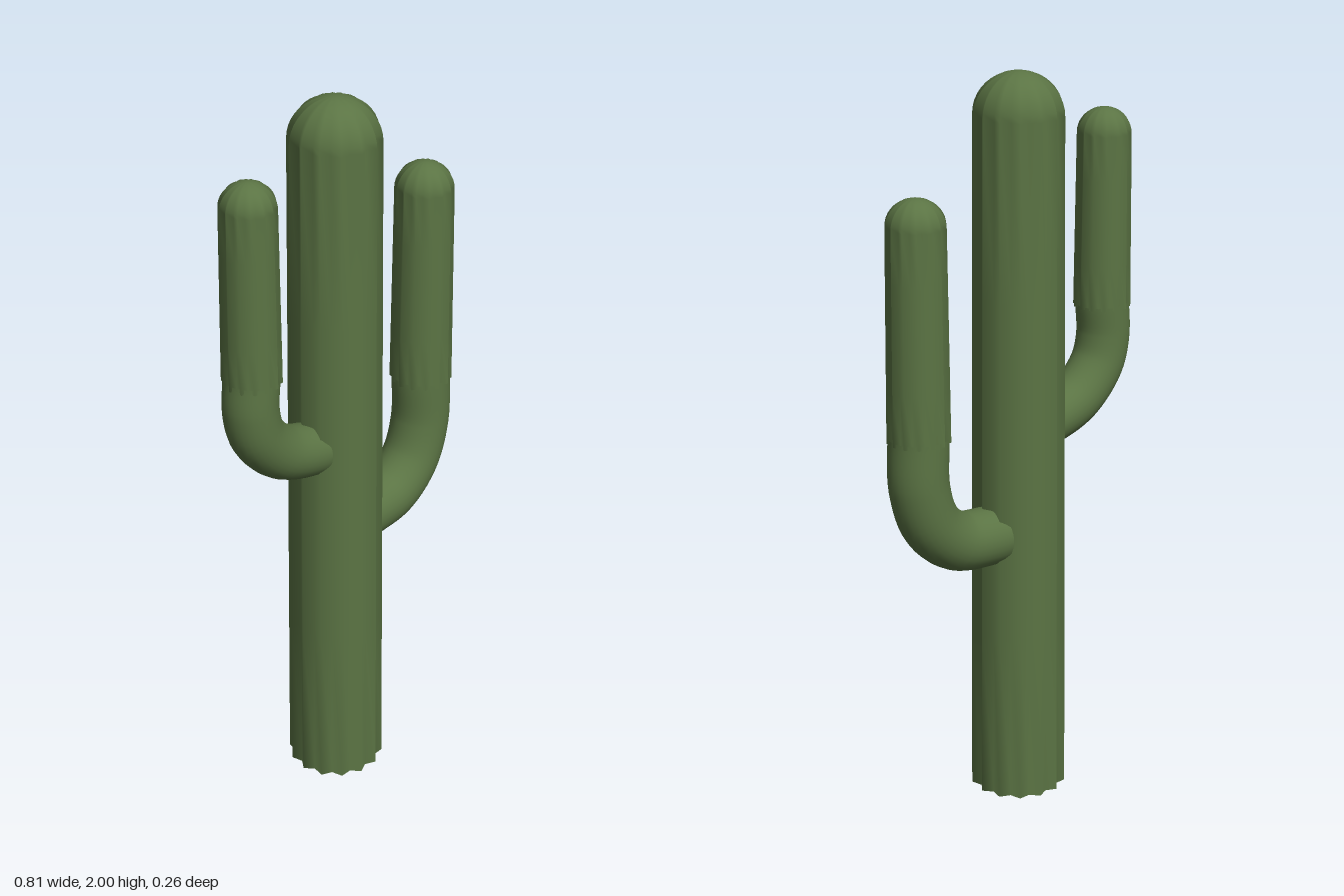
import * as THREE from 'three';
import { mergeVertices } from 'three/addons/utils/BufferGeometryUtils.js';

const RIBS = 14;
const VALLEY = 0.87; // groove radius relative to rib radius

// Open-bottomed ribbed column with a domed top
function ribbedColumn(x, y0, y1, rBottom, rTop) {
  const profile = [];
  const shoulder = y1 - rTop * 0.95;
  for (let i = 0; i < 4; i++) {
    const t = i / 4;
    profile.push(new THREE.Vector2(THREE.MathUtils.lerp(rBottom, rTop, t), THREE.MathUtils.lerp(y0, shoulder, t)));
  }
  for (let i = 0; i <= 10; i++) {
    const a = (i / 10) * Math.PI / 2;
    profile.push(new THREE.Vector2(i === 10 ? 0 : rTop * Math.cos(a), shoulder + (y1 - shoulder) * Math.sin(a)));
  }
  let geo = new THREE.LatheGeometry(profile, RIBS * 2);
  const pos = geo.attributes.position;
  // pull every second vertical line inwards to make the grooves
  for (let i = 0; i < pos.count; i++) {
    const segment = Math.floor(i / profile.length);
    if (segment % 2 === 0) pos.setXYZ(i, pos.getX(i) * VALLEY, pos.getY(i), pos.getZ(i) * VALLEY);
  }
  geo.deleteAttribute('normal');
  geo.deleteAttribute('uv');
  geo = mergeVertices(geo, 1e-5);
  geo.computeVertexNormals();
  geo.translate(x, 0, 0);
  return geo;
}

// Smooth bent tube joining an arm to the trunk
function elbow(points, radius) {
  const path = new THREE.CatmullRomCurve3(points.map(([x, y]) => new THREE.Vector3(x, y, 0)));
  return new THREE.TubeGeometry(path, 28, radius, 28, false);
}

export function createModel() {
  const model = new THREE.Group();
  model.name = 'cactus';
  const green = new THREE.MeshStandardMaterial({ color: 0x5b7444, side: THREE.DoubleSide });
  green.name = 'cactus green';

  const add = (name, geometry) => {
    const mesh = new THREE.Mesh(geometry, green);
    mesh.name = name;
    model.add(mesh);
  };

  add('trunk', ribbedColumn(-0.023, 0, 2, 0.133, 0.12));

  // lower arm on the left side
  add('leftElbow', elbow([[0.0, 0.765], [0.1, 0.765], [0.2, 0.782], [0.28, 0.85], [0.318, 0.96], [0.318, 1.1]], 0.08));
  add('leftArm', ribbedColumn(0.317, 1.09, 1.725, 0.085, 0.079));

  // higher arm on the right side
  add('rightElbow', elbow([[-0.03, 1.04], [-0.13, 1.05], [-0.235, 1.09], [-0.31, 1.17], [-0.331, 1.25], [-0.326, 1.34]], 0.073));
  add('rightArm', ribbedColumn(-0.325, 1.33, 1.87, 0.078, 0.073));

  return model;
}
